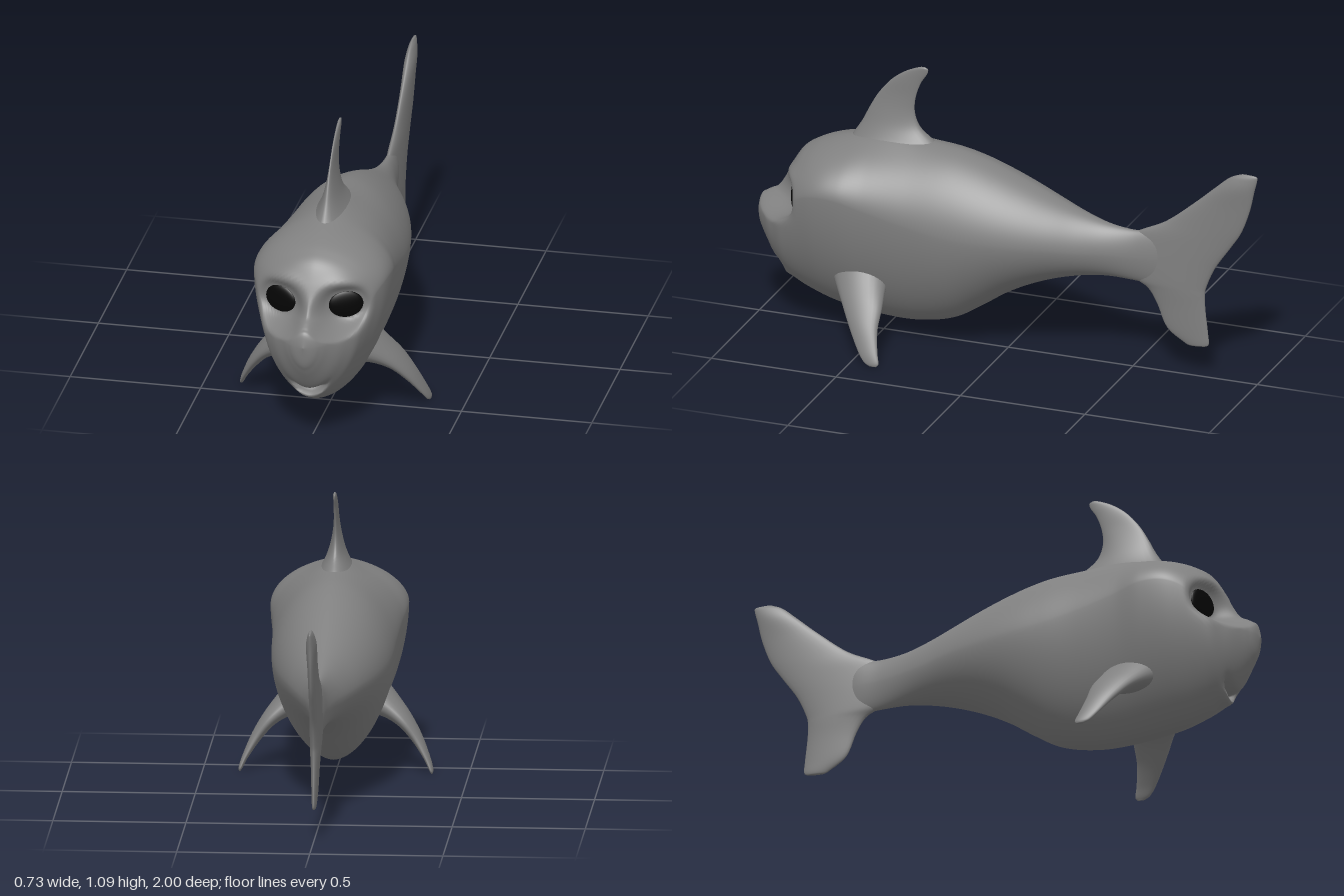
import * as THREE from 'three';

const grey = new THREE.MeshStandardMaterial({ color: 0x808080, side: THREE.DoubleSide });
const dark = new THREE.MeshStandardMaterial({ color: 0x050505 });

// Closed skin over a series of rings with equal point counts
function loft(rings) {
  const n = rings[0].length, index = [];
  for (let i = 0; i < rings.length - 1; i++) {
    for (let j = 0; j < n; j++) {
      const a = i * n + j, b = i * n + (j + 1) % n;
      index.push(a, b, b + n, a, b + n, a + n);
    }
  }
  const g = new THREE.BufferGeometry();
  g.setAttribute('position', new THREE.Float32BufferAttribute(rings.flat(2), 3));
  g.setIndex(index);
  g.computeVertexNormals();
  return g;
}

// Smooth interpolation through rows of numbers at the given times
function track(times, rows) {
  const size = rows[0].length;
  const f = new THREE.CubicInterpolant(times, rows.flat(), size, new Float32Array(size));
  return t => Array.from(f.evaluate(t));
}

function part(name, geometry, material = grey) {
  const m = new THREE.Mesh(geometry, material);
  m.name = name;
  return m;
}

const bell = d => Math.exp(-d * d);
const power = (v, e) => Math.sign(v) * Math.abs(v) ** e;

// Eye placement shared by the sockets and the eyes
const EYE = { x: 0.125, y: 0.543, z: 0.81, rx: 0.061, ry: 0.053, slope: 0.4 };

// Ridge under the dorsal fin, then brows, sockets and mouth
function sculpt([x, y, z]) {
  if (y > 0.65) y += 0.022 * bell(x / 0.07) * bell((z - 0.46) / 0.14);
  if (z < 0.68) return [x, y, z];
  const ax = Math.abs(x);
  const r = Math.hypot((ax - EYE.x) / EYE.rx, (y - EYE.y) / EYE.ry);
  const socket = 1 - THREE.MathUtils.smoothstep(r, 1.0, 2.1);
  const floor = EYE.z - EYE.slope * (ax - EYE.x);
  z += socket * (Math.min(z, floor) - z);
  z += 0.012 * bell((ax - 0.12) / 0.06) * bell((y - 0.63) / 0.025);
  if (y < 0.35) {
    const d = y - (0.207 + 8 * x * x), span = Math.exp(-((x / 0.06) ** 4));
    z += span * (0.018 * bell((d + 0.026) / 0.014) - 0.05 * bell(d / 0.012));
  }
  return [x, y, z];
}

function bodyGeometry() {
  // z, top, bottom, height of widest point, half width
  const stations = [
    [1.0, 0.431, 0.429, 0.43, 0.001], [0.99, 0.475, 0.37, 0.43, 0.035],
    [0.97, 0.495, 0.325, 0.43, 0.065], [0.95, 0.507, 0.29, 0.43, 0.088],
    [0.92, 0.525, 0.245, 0.42, 0.122], [0.89, 0.57, 0.21, 0.43, 0.15],
    [0.86, 0.63, 0.178, 0.46, 0.178], [0.82, 0.695, 0.15, 0.52, 0.204],
    [0.77, 0.73, 0.127, 0.57, 0.228], [0.7, 0.757, 0.102, 0.6, 0.252],
    [0.6, 0.778, 0.08, 0.6, 0.259], [0.5, 0.787, 0.067, 0.57, 0.246],
    [0.35, 0.788, 0.065, 0.53, 0.235], [0.2, 0.78, 0.1, 0.5, 0.228],
    [0.1, 0.757, 0.16, 0.49, 0.218], [0.0, 0.723, 0.228, 0.485, 0.2],
    [-0.1, 0.683, 0.28, 0.48, 0.174], [-0.2, 0.64, 0.318, 0.475, 0.14],
    [-0.3, 0.6, 0.343, 0.465, 0.1], [-0.4, 0.569, 0.355, 0.46, 0.062],
    [-0.5, 0.556, 0.352, 0.455, 0.037], [-0.6, 0.56, 0.345, 0.455, 0.023],
    [-0.68, 0.55, 0.36, 0.455, 0.002],
  ];
  const at = track(stations.map(s => 1 - s[0]), stations.map(s => s.slice(1)));
  const rings = [], steps = 140, around = 96;
  for (let i = 0; i <= steps; i++) {
    const u = 1.68 * (i / steps) ** 1.7;
    const [top, bottom, mid, w] = at(u), ring = [];
    for (let j = 0; j < around; j++) {
      const a = j / around * Math.PI * 2, c = power(Math.cos(a), 1.14);
      ring.push(sculpt([
        Math.max(w, 0.001) * power(Math.sin(a), 1.14),
        mid + c * (c > 0 ? top - mid : mid - bottom),
        1 - u,
      ]));
    }
    rings.push(ring);
  }
  return loft(rings);
}

// Lens-shaped fin; each row is x, y, leading z, trailing z, half thickness
function finGeometry(rows) {
  const at = track(rows.map((_, i) => i), rows);
  const rings = [], end = rows.length - 1, steps = end * 5, around = 28;
  for (let i = 0; i <= steps; i++) {
    const t = i / steps * end;
    const [x, y, lead, trail, thick] = at(t);
    const p = at(Math.max(t - 0.1, 0)), q = at(Math.min(t + 0.1, end));
    const tx = q[0] - p[0], ty = q[1] - p[1], len = Math.hypot(tx, ty);
    const ring = [];
    for (let j = 0; j < around; j++) {
      const a = j / around * Math.PI * 2, s = thick * Math.sin(a);
      ring.push([x + s * ty / len, y - s * tx / len,
        (lead + trail) / 2 + (lead - trail) / 2 * Math.cos(a)]);
    }
    rings.push(ring);
  }
  // close both ends
  for (const k of [0, steps]) {
    const c = [0, 1, 2].map(d => rings[k].reduce((s, v) => s + v[d], 0) / around);
    const cap = rings[k].map(() => c);
    if (k) rings.push(cap); else rings.unshift(cap);
  }
  return loft(rings);
}

export function createModel() {
  const model = new THREE.Group();
  model.name = 'fish';
  model.add(part('body', bodyGeometry()));

  model.add(part('dorsalFin', finGeometry([
    [0, 0.75, 0.645, 0.26, 0.085], [0, 0.79, 0.617, 0.295, 0.056],
    [0, 0.84, 0.585, 0.352, 0.033], [0, 0.9, 0.555, 0.375, 0.018],
    [0, 0.96, 0.52, 0.372, 0.01], [0, 1.02, 0.47, 0.352, 0.008],
    [0, 1.06, 0.417, 0.327, 0.007], [0, 1.08, 0.375, 0.322, 0.006],
    [0, 1.088, 0.352, 0.333, 0.003],
  ])));

  model.add(part('tailFin', finGeometry([
    [0, 0.12, -0.725, -0.765, 0.003], [0, 0.13, -0.705, -0.803, 0.008],
    [0, 0.18, -0.637, -0.802, 0.012], [0, 0.27, -0.598, -0.792, 0.016],
    [0, 0.33, -0.56, -0.79, 0.02], [0, 0.37, -0.5, -0.797, 0.022],
    [0, 0.45, -0.46, -0.832, 0.022], [0, 0.54, -0.5, -0.893, 0.02],
    [0, 0.61, -0.632, -0.937, 0.018], [0, 0.7, -0.745, -0.97, 0.018],
    [0, 0.78, -0.835, -0.988, 0.02], [0, 0.825, -0.887, -0.999, 0.013],
    [0, 0.843, -0.925, -0.997, 0.006], [0, 0.847, -0.938, -0.965, 0.003],
  ])));

  // Paired fins and eyes
  const pectoral = finGeometry([
    [0.12, 0.28, 0.67, 0.43, 0.085], [0.19, 0.24, 0.62, 0.422, 0.05],
    [0.25, 0.19, 0.572, 0.412, 0.031], [0.3, 0.125, 0.525, 0.41, 0.021],
    [0.34, 0.055, 0.477, 0.395, 0.012], [0.357, 0.016, 0.445, 0.384, 0.008],
    [0.361, 0.002, 0.42, 0.392, 0.004],
  ]);
  for (const [side, s] of [['left', 1], ['right', -1]]) {
    const fin = part(side + 'PectoralFin', pectoral);
    fin.scale.x = s;
    const eye = part(side + 'Eye', new THREE.SphereGeometry(1, 32, 20), dark);
    eye.position.set(s * EYE.x, EYE.y, EYE.z);
    eye.rotation.y = s * Math.atan(EYE.slope);
    eye.scale.set(EYE.rx * 1.08, EYE.ry, 0.014);
    model.add(fin, eye);
  }
  return model;
}
